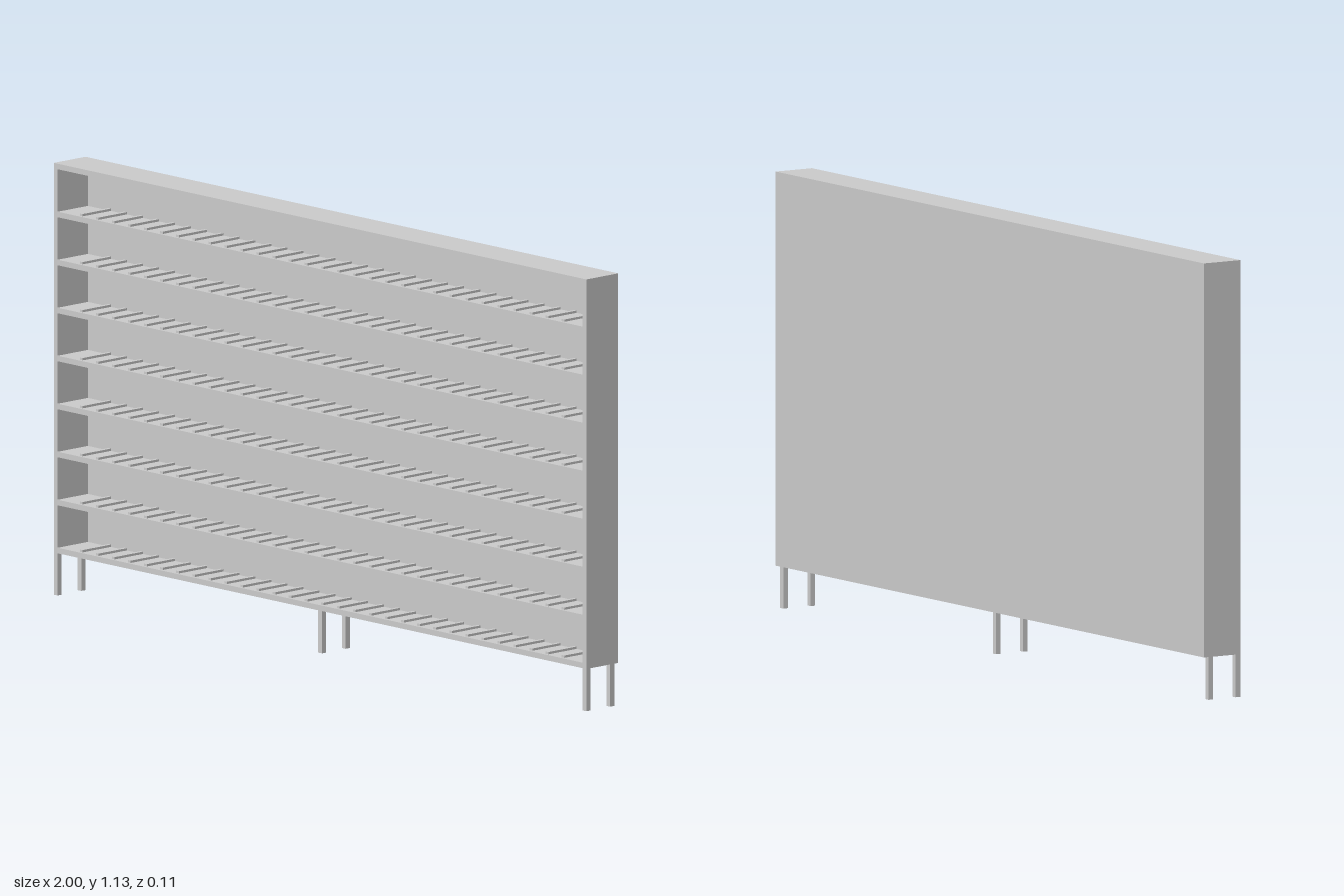
import * as THREE from 'three';

const W = 2, BASE = 0.111, TOP = 1.135, D = 0.112; // cabinet envelope
const T = 0.0145;                                  // board thickness
const BACK = 0.005;                                // back panel thickness
const BAYS = 8, RIBS = 31, RIB_STEP = 0.0603;

export function createModel() {
  const model = new THREE.Group();
  const material = new THREE.MeshStandardMaterial({ color: 0xcccccc, flatShading: true });

  // Box given by its min and max corners
  const box = (name, x0, x1, y0, y1, z0, z1, parent = model) => {
    const mesh = new THREE.Mesh(new THREE.BoxGeometry(x1 - x0, y1 - y0, z1 - z0), material);
    mesh.position.set((x0 + x1) / 2, (y0 + y1) / 2, (z0 + z1) / 2);
    mesh.name = name;
    parent.add(mesh);
    return mesh;
  };

  const back = -D / 2, front = D / 2, inner = W / 2 - T;

  // Carcass: sides, top and back
  box('rightSide', -W / 2, -inner, BASE, TOP, back, front);
  box('leftSide', inner, W / 2, BASE, TOP, back, front);
  box('topBoard', -inner, inner, TOP - T, TOP, back, front);
  box('backPanel', -inner, inner, BASE, TOP - T, back, back + BACK);

  // Shelves (the lowest is the floor), each with a row of low divider ribs
  const pitch = (TOP - T - BASE) / BAYS;
  for (let i = 0; i < BAYS; i++) {
    const shelf = new THREE.Group();
    shelf.name = i === 0 ? 'floorShelf' : 'shelf' + i;
    model.add(shelf);
    const y = BASE + i * pitch;
    box('shelfBoard', -inner, inner, y, y + T, back + BACK, front, shelf);
    for (let j = 0; j < RIBS; j++) {
      const x = (j - (RIBS - 1) / 2) * RIB_STEP;
      box('dividerRib', x - 0.005, x + 0.005, y + T, y + T + 0.006, back + BACK, front - 0.007, shelf);
    }
  }

  // Three pairs of square legs
  for (const x of [-W / 2 + T / 2, 0, W / 2 - T / 2]) {
    box('frontLeg', x - T / 2, x + T / 2, 0, BASE, front - T, front);
    box('backLeg', x - T / 2, x + T / 2, 0, BASE, -0.042, -0.042 + T);
  }
  return model;
}
